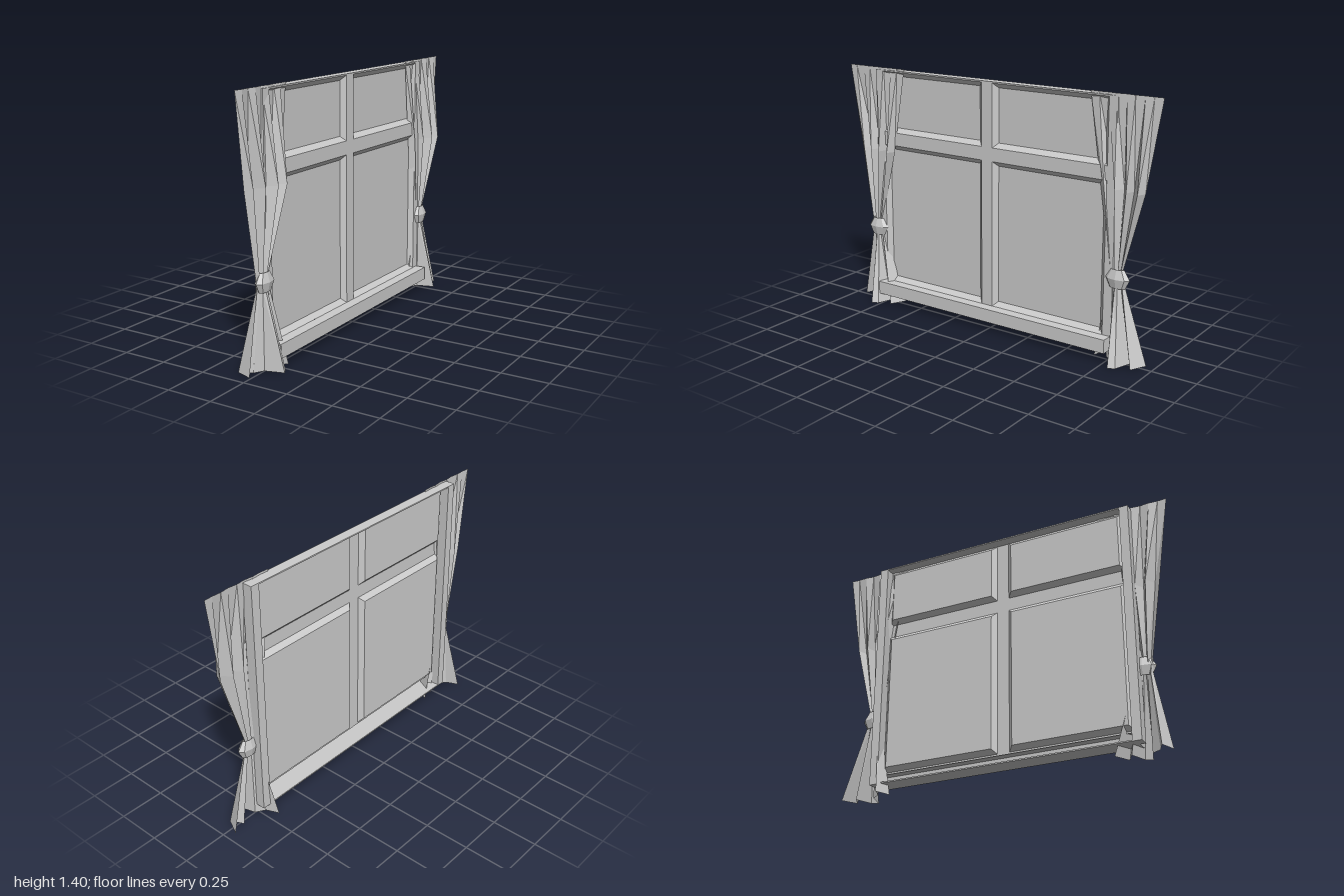
import * as THREE from 'three';

const mat = new THREE.MeshStandardMaterial({ color: 0xcccccc, flatShading: true, side: THREE.DoubleSide });

function add(parent, name, geometry) {
  const mesh = new THREE.Mesh(geometry, mat);
  mesh.name = name;
  parent.add(mesh);
  return mesh;
}

// Box given by its limits: u along the window, v up, w outwards
function addBox(parent, name, u0, u1, v0, v1, w0, w1) {
  const g = new THREE.BoxGeometry(u1 - u0, v1 - v0, w1 - w0);
  g.translate((u0 + u1) / 2, (v0 + v1) / 2, (w0 + w1) / 2);
  return add(parent, name, g);
}

// Surface through rows of points that all have the same count
function loft(rows, capLast = false) {
  const n = rows[0].length, idx = [];
  for (let r = 0; r < rows.length - 1; r++) {
    for (let i = 0; i < n - 1; i++) {
      const a = r * n + i, b = a + n;
      idx.push(a, a + 1, b, b, a + 1, b + 1);
    }
  }
  const last = (rows.length - 1) * n;
  if (capLast) idx.push(last, last + 1, last + 2, last, last + 2, last + 3);
  const g = new THREE.BufferGeometry();
  g.setAttribute('position', new THREE.Float32BufferAttribute(rows.flat(2), 3));
  g.setIndex(idx);
  g.computeVertexNormals();
  return g;
}

const rect = (u0, u1, v0, v1, w) =>
  [[u0, v0, w], [u1, v0, w], [u1, v1, w], [u0, v1, w], [u0, v0, w]];

function makeWindow() {
  const win = new THREE.Group();
  win.name = 'window';

  // Front face with four openings, each with bevelled sides and a pane
  const face = new THREE.Shape(rect(-0.8, 0.76, 0.12, 1.385, 0).slice(0, 4).map(p => new THREE.Vector2(p[0], p[1])));
  const bevel = 0.026;
  for (const [u0, u1] of [[-0.75, -0.06], [0.01, 0.71]]) {
    for (const [v0, v1] of [[0.13, 0.955], [1.03, 1.378]]) {
      const outer = rect(u0, u1, v0, v1, 0);
      face.holes.push(new THREE.Path(outer.slice(0, 4).reverse().map(p => new THREE.Vector2(p[0], p[1]))));
      const inner = rect(u0 + bevel, u1 - bevel, v0 + bevel, v1 - bevel, -0.025);
      add(win, 'pane', loft([outer, inner], true));
    }
  }
  add(win, 'glazingBars', new THREE.ShapeGeometry(face));

  // Deep surround, open at the back
  addBox(win, 'leftPost', -0.8, -0.75, 0.06, 1.385, -0.06, -0.001);
  addBox(win, 'rightPost', 0.71, 0.76, 0.06, 1.385, -0.06, -0.001);
  addBox(win, 'topRail', -0.75, 0.71, 1.378, 1.385, -0.06, -0.001);
  addBox(win, 'bottomRail', -0.8, 0.76, 0.055, 0.062, -0.06, 0);

  // Hollow sill
  addBox(win, 'sillTop', -0.77, 0.755, 0.123, 0.13, 0, 0.06);
  addBox(win, 'sillFront', -0.77, 0.755, 0.055, 0.13, 0.054, 0.06);
  addBox(win, 'sillBottom', -0.77, 0.755, 0.055, 0.062, 0, 0.06);
  addBox(win, 'sillEnd', -0.77, -0.763, 0.055, 0.13, 0, 0.06);
  addBox(win, 'sillEnd', 0.748, 0.755, 0.055, 0.13, 0, 0.06);
  return win;
}

function makeCurtain(offset) {
  const curtain = new THREE.Group();
  curtain.name = 'curtain';

  // Each level is a list of [distance along window, depth] pleat corners
  const level = (y, pts) => pts.map(([z, x]) => [-z, y, x]);
  const top = level(1.397, [[0.6, -0.01], [0.65, -0.007], [0.7, -0.01], [0.75, -0.004], [0.8, -0.01],
    [0.85, -0.004], [0.9, -0.01], [0.95, -0.006], [1.0, -0.01]]);
  const middle = level(0.92, [[0.67, 0.005], [0.69, 0.055], [0.74, -0.01], [0.755, 0.05], [0.8, -0.02],
    [0.83, 0.03], [0.865, -0.045], [0.9, 0.01], [0.935, -0.02]]);
  const neck = level(0.5, [[0.785, -0.01], [0.79, 0.005], [0.8, -0.015], [0.805, 0.01], [0.82, -0.02],
    [0.83, 0.005], [0.845, -0.03], [0.855, 0], [0.87, -0.015]]);
  const neckLow = level(0.41, [[0.77, -0.01], [0.78, 0.005], [0.795, -0.01], [0.805, 0.01], [0.82, 0.01],
    [0.83, 0], [0.845, -0.01], [0.855, -0.025], [0.865, -0.01]]);
  const hem = level(0, [[0.65, -0.04], [0.695, 0.05], [0.73, -0.02], [0.765, 0.08], [0.8, 0.1],
    [0.83, 0], [0.88, -0.03], [0.91, -0.1], [0.94, -0.01]]);
  add(curtain, 'drape', loft([top, middle, neck, neckLow, hem]));

  // Tie band, wider in the middle
  const ring = [[0.5, 0.5], [1, 0], [0.55, -0.05]];
  const profile = [[0.038, 0.05], [0.07, 0], [0.045, -0.05]].map(([r, y]) => new THREE.Vector2(r, y));
  const band = new THREE.LatheGeometry(profile.reverse(), 8);
  band.scale(1, 1, 0.45);
  add(curtain, 'tieBand', band).position.set(-0.812, 0.455, -0.002);

  curtain.position.x = offset;
  return curtain;
}

export function createModel() {
  const model = new THREE.Group();
  model.name = 'curtainedWindow';
  model.add(makeWindow(), makeCurtain(0), makeCurtain(1.6));
  // The window looks towards +x
  model.rotation.y = Math.PI / 2;
  const root = new THREE.Group();
  root.add(model);
  return root;
}
